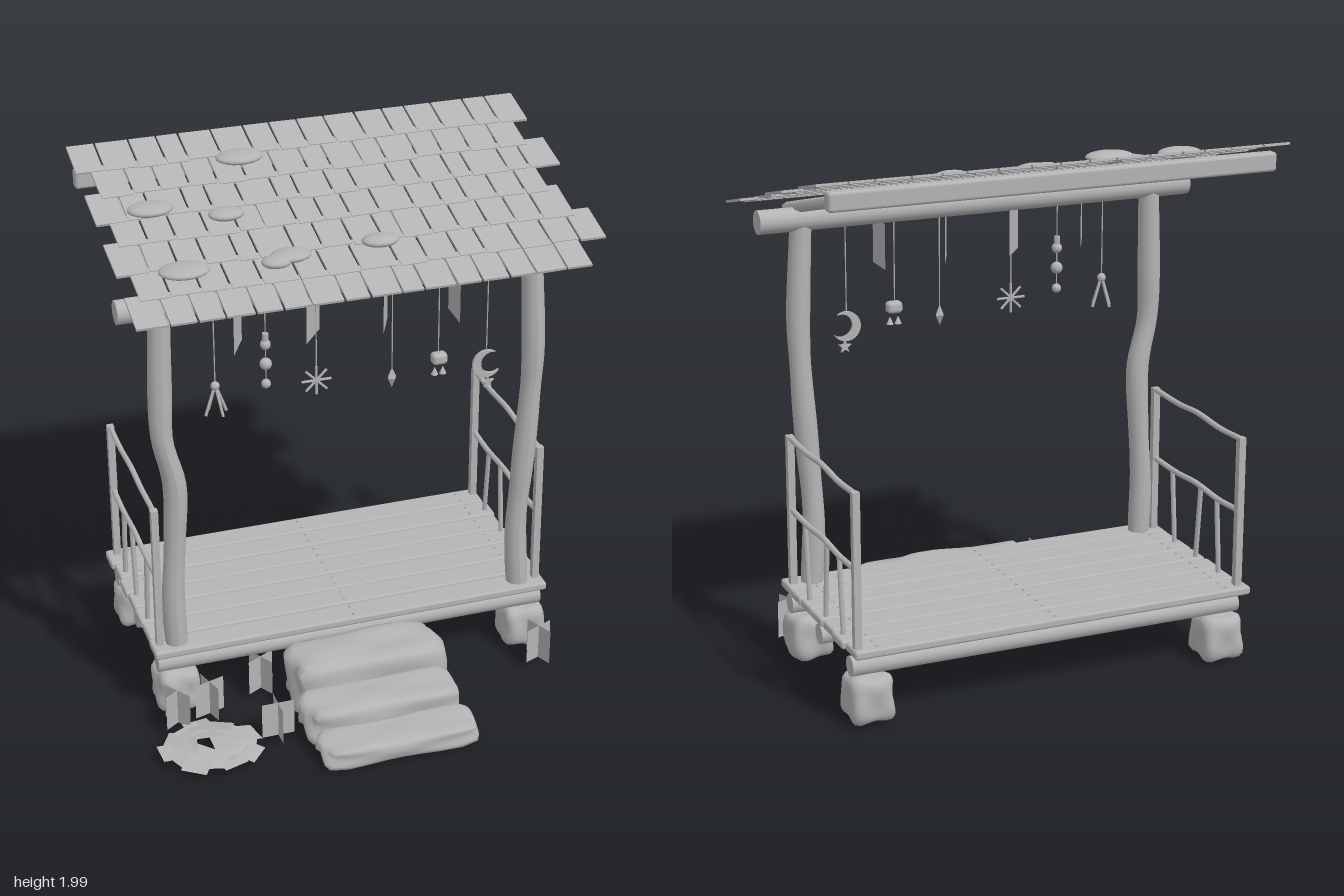
import * as THREE from 'three';
import { mergeVertices } from 'three/addons/utils/BufferGeometryUtils.js';
import { RoundedBoxGeometry } from 'three/addons/geometries/RoundedBoxGeometry.js';

const clay = new THREE.MeshStandardMaterial({ color: 0xb4b4b4, side: THREE.DoubleSide });
clay.name = 'plain grey';

let seed = 7;
const rnd = (a = 0, b = 1) => {
  seed = (seed * 16807) % 2147483647;
  return a + (b - a) * (seed / 2147483647);
};
const V = (x, y, z) => new THREE.Vector3(x, y, z);

export function createModel() {
  const root = new THREE.Group();
  root.name = 'roofedPorch';

  const add = (name, geo, pos = [0, 0, 0], rot = [0, 0, 0], parent = root) => {
    const m = new THREE.Mesh(geo, clay);
    m.name = name;
    m.position.set(...pos);
    m.rotation.set(...rot);
    parent.add(m);
    return m;
  };
  const section = (name) => {
    const g = new THREE.Group();
    g.name = name;
    root.add(g);
    return g;
  };

  // Straight round stick between two points
  const stick = (name, a, b, r, parent = root, sides = 8) => {
    const d = b.clone().sub(a);
    const m = add(name, new THREE.CylinderGeometry(r, r, d.length(), sides), a.clone().add(b).multiplyScalar(0.5).toArray(), [0, 0, 0], parent);
    m.quaternion.setFromUnitVectors(V(0, 1, 0), d.normalize());
    return m;
  };

  // Capped trunk whose rings follow a curve given bottom to top
  const trunk = (name, pts, r, parent = root) => {
    const curve = new THREE.CatmullRomCurve3(pts.map((p) => V(...p)));
    const geo = new THREE.CylinderGeometry(r, r, 1, 14, 28);
    const p = geo.attributes.position;
    for (let i = 0; i < p.count; i++) {
      const t = p.getY(i) + 0.5;
      const c = curve.getPoint(t);
      const k = 1 + 0.05 * Math.sin(t * 17);
      p.setXYZ(i, c.x + p.getX(i) * k, c.y, c.z + p.getZ(i) * k);
    }
    geo.computeVertexNormals();
    return add(name, geo, [0, 0, 0], [0, 0, 0], parent);
  };

  // Lumpy squared-off stone
  const stone = (name, pos, half, parent, power = 5, rough = 0.07) => {
    let geo = new THREE.IcosahedronGeometry(1, 6);
    geo.deleteAttribute('uv');
    geo.deleteAttribute('normal');
    geo = mergeVertices(geo, 1e-4);
    const p = geo.attributes.position;
    const s = rnd(0, 9);
    for (let i = 0; i < p.count; i++) {
      const v = V(p.getX(i), p.getY(i), p.getZ(i));
      const n = Math.abs(v.x) ** power + Math.abs(v.y) ** power + Math.abs(v.z) ** power;
      v.multiplyScalar(n ** (-1 / power));
      const w = 1 + rough * Math.sin(v.x * 4 + s) * Math.cos(v.y * 3 + v.z * 4 + s);
      p.setXYZ(i, v.x * half[0] * w, v.y * half[1] * w, v.z * half[2] * w);
    }
    geo.computeVertexNormals();
    return add(name, geo, pos, [0, 0, 0], parent);
  };

  // Foundation stones
  const base = section('foundation');
  for (const [x, z] of [[0.66, 0.08], [0.66, -0.54], [-0.745, 0.08], [-0.745, -0.54], [-0.05, 0.08]])
    stone('footStone', [x, 0.097, z], [0.082, 0.086, 0.083], base);

  // Logs carrying the deck
  for (const z of [0.1, -0.22, -0.54])
    stick('floorLog', V(-0.82, 0.218, z), V(0.725, 0.218, z), 0.038, base, 14);

  // Deck boards with nail heads
  const deck = section('deck');
  for (let i = 0; i < 7; i++) {
    const z = 0.11 - i * 0.1125;
    const x = -0.05 + rnd(-0.008, 0.008);
    add('deckBoard', new RoundedBoxGeometry(1.575, 0.033, 0.108, 2, 0.01), [x, 0.283 + rnd(-0.002, 0.002), z], [0, 0, 0], deck);
    for (const nx of [-0.75, -0.05, 0.64]) for (const dz of [-0.025, 0.025])
      add('nail', new THREE.CylinderGeometry(0.006, 0.006, 0.006, 6), [nx, 0.301, z + dz], [0, 0, 0], deck);
  }

  // Crooked front posts
  trunk('rightPost', [[-0.74, 0.29, 0.1], [-0.745, 0.5, 0.1], [-0.73, 0.75, 0.1], [-0.725, 0.98, 0.105],
    [-0.765, 1.17, 0.11], [-0.765, 1.35, 0.105], [-0.755, 1.68, 0.1]], 0.042);
  trunk('leftPost', [[0.635, 0.29, 0.1], [0.625, 0.55, 0.095], [0.64, 0.8, 0.1], [0.66, 1.1, 0.1],
    [0.665, 1.3, 0.105], [0.65, 1.68, 0.1]], 0.042);

  // Side railings
  for (const x of [0.71, -0.805]) {
    const rail = section(x > 0 ? 'leftRailing' : 'rightRailing');
    for (const z of [0.1, -0.58])
      add('railPost', new THREE.BoxGeometry(0.027, 0.59, 0.027), [x, 0.585, z], [0, 0, 0], rail);
    for (const y of [0.868, 0.588]) {
      const c = new THREE.CatmullRomCurve3([V(x, y + 0.004, 0.1), V(x, y, -0.1), V(x, y + 0.008, -0.24), V(x, y - 0.002, -0.42), V(x, y + 0.005, -0.58)]);
      add('rail', new THREE.TubeGeometry(c, 16, 0.011, 8), [0, 0, 0], [0, 0, 0], rail);
    }
    for (const [top, bottom] of [[-0.055, -0.085], [-0.285, -0.258], [-0.41, -0.44]])
      stick('baluster', V(x, 0.59, top), V(x, 0.295, bottom), 0.01, rail);
  }

  // Roof beams and rafters
  const frame = section('roofFrame');
  stick('frontBeam', V(-0.91, 1.692, 0.097), V(0.815, 1.692, 0.097), 0.044, frame, 18);
  add('backBeam', new RoundedBoxGeometry(1.69, 0.07, 0.05, 2, 0.012), [-0.04, 1.91, -0.605], [0, 0, 0], frame);
  for (const x of [-0.77, -0.29, 0.19, 0.66])
    stick('rafter', V(x, 1.708, 0.215), V(x, 1.913, -0.6), 0.022, frame, 6);

  // Shingle rows, each ragged and staggered
  const roof = section('shingles');
  const roofY = (z) => 1.717 + (0.32 - z) * 0.265;
  const rowZ = [-0.71, -0.54, -0.39, -0.25, -0.11, 0.04, 0.18, 0.32];
  const rowX = [[-0.89, 0.88], [-0.835, 0.82], [-0.89, 0.9], [-0.84, 0.8], [-0.89, 0.84], [-0.84, 0.905], [-0.89, 0.795]];
  rowX.forEach(([x0, x1], i) => {
    const count = 16 - (i % 2);
    const cuts = [x0];
    for (let k = 1; k < count; k++) cuts.push(x0 + ((x1 - x0) * (k + rnd(-0.17, 0.17))) / count);
    cuts.push(x1);
    for (let k = 0; k < count; k++) {
      const w = cuts[k + 1] - cuts[k] - 0.008;
      const zb = i ? rowZ[i] - 0.03 : rowZ[i];
      const zf = rowZ[i + 1] + (i < 6 ? rnd(-0.006, 0.006) : 0);
      const zc = (zb + zf) / 2;
      add('shingle', new THREE.BoxGeometry(w, 0.009, (zf - zb) * 1.033),
        [(cuts[k] + cuts[k + 1]) / 2, roofY(zc) + 0.004, zc], [0.238, rnd(-0.015, 0.015), 0], roof);
    }
  });

  // Moss cushions lying on the roof
  for (const [x, z, rx, rz] of [[-0.28, -0.51, 0.09, 0.065], [-0.68, -0.28, 0.085, 0.062], [-0.42, -0.2, 0.066, 0.05],
    [-0.65, 0.07, 0.094, 0.07], [-0.26, 0.065, 0.075, 0.055], [-0.32, 0.09, 0.055, 0.045], [0.08, 0.05, 0.07, 0.05]])
    add('mossCushion', new THREE.SphereGeometry(1, 18, 10), [x, roofY(z) + 0.02, z], [0, 0, 0], roof).scale.set(rx, 0.021, rz);

  // Hanging leaf cards under the front beam
  const charms = section('hangings');
  for (const [x, yaw] of [[-0.47, 1.08], [-0.19, 0.9], [0.085, 1.13], [0.35, 1.55]])
    add('hangingLeaf', new THREE.PlaneGeometry(0.13, 0.17), [x, 1.572, 0.097], [0, yaw, 0], charms);

  // Strings for the charms
  const cz = 0.1;
  for (const [x, y] of [[-0.56, 1.35], [-0.37, 1.32], [-0.18, 1.31], [0.11, 1.31], [0.29, 1.34], [0.48, 1.32]])
    stick('string', V(x, 1.66, cz), V(x, y, cz), 0.0025, charms, 5);

  // Twig bundle
  add('twigKnot', new THREE.SphereGeometry(0.017, 10, 8), [-0.56, 1.35, cz], [0, 0, 0], charms);
  for (const [dx, dz] of [[-0.04, 0.01], [-0.018, -0.035], [0.018, 0.035], [0.042, -0.01]])
    stick('twig', V(-0.56, 1.355, cz), V(-0.56 + dx, 1.24, cz + dz), 0.006, charms, 6);

  // Bead chain
  for (const [y, r] of [[1.485, 0.02], [1.408, 0.023], [1.328, 0.018]])
    add('bead', new THREE.SphereGeometry(r, 12, 8), [-0.37, y, cz], [0, 0, 0], charms);
  add('bead', new THREE.CylinderGeometry(0.012, 0.012, 0.03, 8), [-0.37, 1.515, cz], [0, 0, 0], charms);

  // Eight-rayed twig star
  for (let i = 0; i < 4; i++) {
    const a = (i * Math.PI) / 4;
    const d = V(Math.cos(a), Math.sin(a), 0).multiplyScalar(0.056);
    const c = V(-0.18, 1.31, cz);
    stick('starTwig', c.clone().sub(d), c.clone().add(d), 0.005, charms, 6);
  }

  // Crystal drop
  add('crystal', new THREE.OctahedronGeometry(0.02), [0.11, 1.275, cz], [0, 0.4, 0], charms).scale.y = 2;

  // Little bell cluster
  add('bellCap', new RoundedBoxGeometry(0.06, 0.045, 0.045, 2, 0.015), [0.293, 1.325, cz], [0, 0, 0], charms);
  for (const dx of [-0.016, 0.016])
    add('bellDrop', new THREE.ConeGeometry(0.014, 0.03, 8), [0.293 + dx, 1.275, cz], [0, 0, 0], charms);

  // Crescent moon and small star
  const moon = new THREE.Shape();
  moon.absarc(0, 0, 0.056, 0.75, Math.PI * 2 - 0.75, false);
  moon.absarc(0.02, 0, 0.043, -1.09, 1.09, true);
  add('moon', new THREE.ExtrudeGeometry(moon, { depth: 0.012, bevelEnabled: false, curveSegments: 20 }), [0.482, 1.272, cz - 0.006], [0, 0, 0.2], charms);
  const star = new THREE.Shape();
  for (let i = 0; i < 10; i++) {
    const a = Math.PI / 2 + (i * Math.PI) / 5, r = i % 2 ? 0.011 : 0.026;
    star[i ? 'lineTo' : 'moveTo'](r * Math.cos(a), r * Math.sin(a));
  }
  add('smallStar', new THREE.ExtrudeGeometry(star, { depth: 0.01, bevelEnabled: false }), [0.488, 1.195, cz - 0.005], [0, 0, 0], charms);

  // Three rough stone steps
  const steps = section('steps');
  stone('lowerStep', [-0.035, 0.05, 0.61], [0.295, 0.042, 0.097], steps, 8, 0.05);
  stone('middleStep', [-0.05, 0.085, 0.445], [0.295, 0.073, 0.105], steps, 8, 0.05);
  stone('upperStep', [-0.045, 0.125, 0.255], [0.295, 0.114, 0.12], steps, 8, 0.05);

  // Crossed grass cards around the base
  const plants = section('plants');
  for (const [x, z, yaw] of [[-0.78, 0.24, 0.6], [-0.65, 0.22, 0.3], [-0.445, 0.435, 0], [-0.42, 0.12, 0.5], [0.67, 0.26, 0.4]])
    for (const turn of [0, Math.PI / 2])
      add('grassCard', new THREE.PlaneGeometry(0.125, 0.145), [x, 0.1, z], [0, yaw + turn, 0], plants);

  // Low fern leaves spread on the ground
  for (let i = 0; i < 18; i++) {
    const a = i * 2.4, r = 0.04 + 0.095 * Math.sqrt(i / 17);
    const leaf = add('fernLeaf', new THREE.PlaneGeometry(0.1, 0.09), [-0.7 + r * 1.15 * Math.cos(a), 0.042, 0.43 + r * Math.sin(a)], [0, 0, 0], plants);
    leaf.rotation.order = 'YXZ';
    leaf.rotation.set(-Math.PI / 2 + rnd(-0.1, 0.35), Math.PI / 2 - a, 0);
  }
  return root;
}
